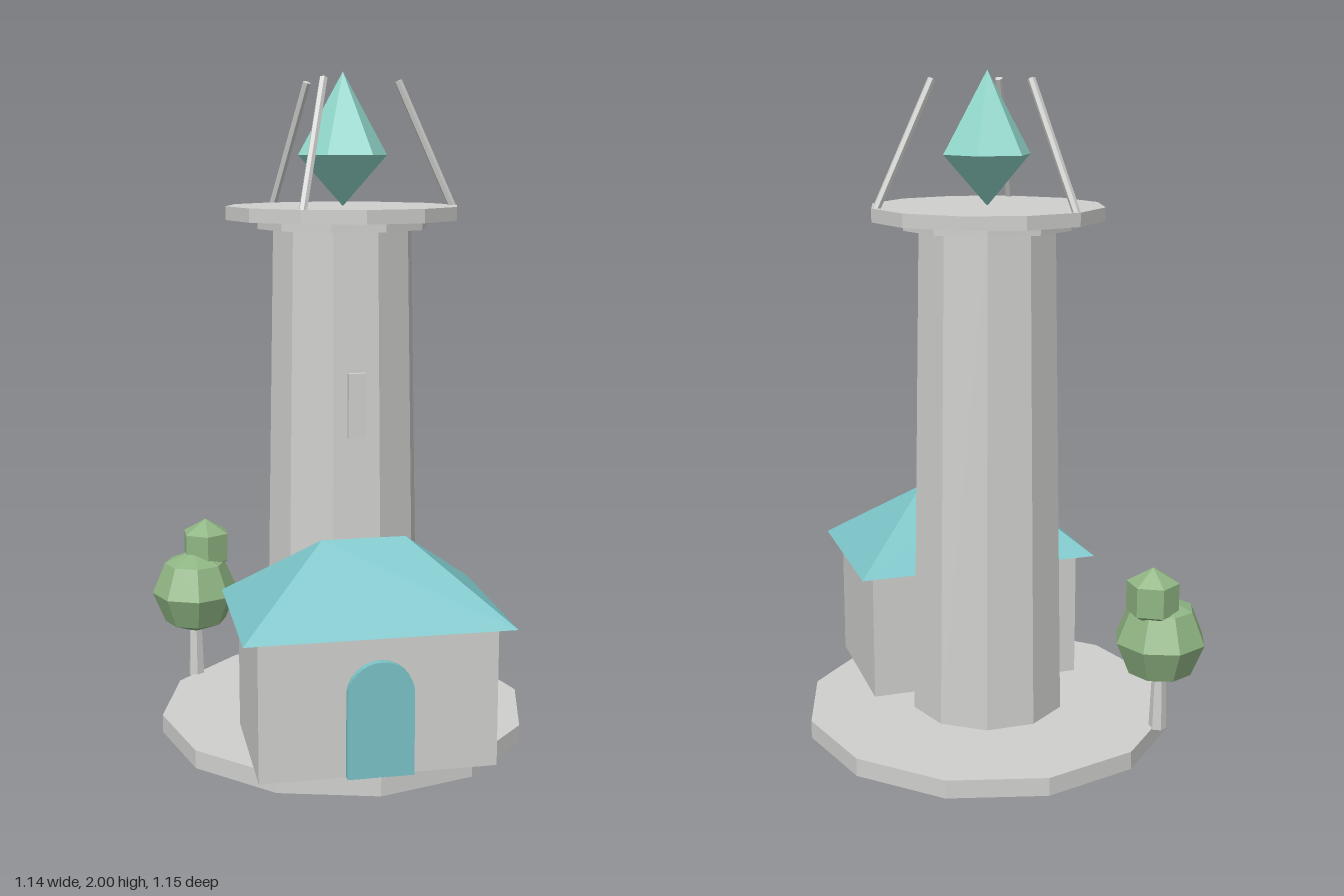
import * as THREE from 'three';
import { ConvexGeometry } from 'three/addons/geometries/ConvexGeometry.js';

export function createModel() {
  const model = new THREE.Group();
  model.name = 'tower';

  const material = (name, color) => {
    const m = new THREE.MeshStandardMaterial({ color });
    m.name = name;
    return m;
  };
  const stone = material('stone', 0xcfcfcd);
  const teal = material('teal roof', 0x7ac3c6);
  const crystalTeal = material('crystal teal', 0x92d8cc);
  const leaf = material('leaf green', 0x8fb583);

  // Adds a mesh with faceted normals
  function add(name, geometry, mat, parent, x = 0, y = 0, z = 0) {
    const flat = geometry.index ? geometry.toNonIndexed() : geometry;
    flat.computeVertexNormals();
    const mesh = new THREE.Mesh(flat, mat);
    mesh.name = name;
    mesh.position.set(x, y, z);
    parent.add(mesh);
    return mesh;
  }

  // Upright prism between two heights
  function prism(name, rTop, rBottom, y0, y1, sides, turn, parent) {
    const g = new THREE.CylinderGeometry(rTop, rBottom, y1 - y0, sides, 1, false, turn);
    return add(name, g, stone, parent, 0, (y0 + y1) / 2, 0);
  }

  // Tower on its round base
  const tower = new THREE.Group();
  tower.name = 'towerBody';
  tower.position.z = -0.01;
  model.add(tower);
  prism('base', 0.567, 0.567, 0, 0.055, 12, 0, tower);
  prism('shaft', 0.21, 0.24, 0.055, 1.545, 10, Math.PI / 10, tower);
  prism('collar', 0.256, 0.256, 1.545, 1.575, 10, Math.PI / 10, tower);
  prism('platform', 0.35, 0.35, 1.572, 1.612, 12, 0, tower);
  add('window', new THREE.BoxGeometry(0.052, 0.19, 0.06), stone, tower, 0, 1.045, 0.196);

  // Crystal: double six-sided pyramid
  const profile = [[0, 1.61], [0.134, 1.76], [0, 2]].map(p => new THREE.Vector2(...p));
  add('crystal', new THREE.LatheGeometry(profile, 6, Math.PI / 6), crystalTeal, tower);

  // Three rods leaning in around the crystal
  const foot = new THREE.Vector3(0.337, 1.605, 0);
  const tip = new THREE.Vector3(0.166, 1.975, 0);
  const lean = tip.clone().sub(foot);
  for (let i = 0; i < 3; i++) {
    const pivot = new THREE.Group();
    pivot.name = 'rodPivot';
    pivot.rotation.y = (i * 2 * Math.PI) / 3;
    tower.add(pivot);
    const rod = add('rod', new THREE.CylinderGeometry(0.012, 0.012, lean.length(), 6), stone, pivot);
    rod.position.copy(foot).add(tip).multiplyScalar(0.5);
    rod.quaternion.setFromUnitVectors(new THREE.Vector3(0, 1, 0), lean.clone().normalize());
  }

  // House in front of the tower
  const house = new THREE.Group();
  house.name = 'house';
  model.add(house);
  add('walls', new THREE.BoxGeometry(0.68, 0.411, 0.435), stone, house, 0, 0.2605, 0.3175);

  // Hipped roof: four eave corners and a ridge
  const roofPoints = [];
  for (const s of [-1, 1]) {
    roofPoints.push(
      new THREE.Vector3(s * 0.384, 0.466, 0.05),
      new THREE.Vector3(s * 0.384, 0.466, 0.575),
      new THREE.Vector3(s * 0.123, 0.678, 0.3125)
    );
  }
  add('roof', new ConvexGeometry(roofPoints), teal, house);

  // Arched door
  const arch = new THREE.Shape();
  arch.moveTo(-0.095, 0);
  arch.lineTo(0.095, 0);
  arch.lineTo(0.095, 0.24);
  arch.absarc(0, 0.24, 0.095, 0, Math.PI, false);
  arch.closePath();
  const doorGeometry = new THREE.ExtrudeGeometry(arch, { depth: 0.03, bevelEnabled: false, curveSegments: 8 });
  add('door', doorGeometry, teal, house, 0, 0.056, 0.526);

  // Tree behind the tower
  const tree = new THREE.Group();
  tree.name = 'tree';
  tree.position.set(-0.43, 0, -0.364);
  model.add(tree);
  prism('trunk', 0.02, 0.027, 0.05, 0.25, 6, 0, tree);
  add('lowerFoliage', new THREE.SphereGeometry(0.14, 8, 4), leaf, tree, 0, 0.338, 0);
  const crown = new THREE.SphereGeometry(0.09, 6, 3).rotateY(Math.PI / 6);
  add('upperFoliage', crown, leaf, tree, 0.04, 0.485, -0.026);

  return model;
}
